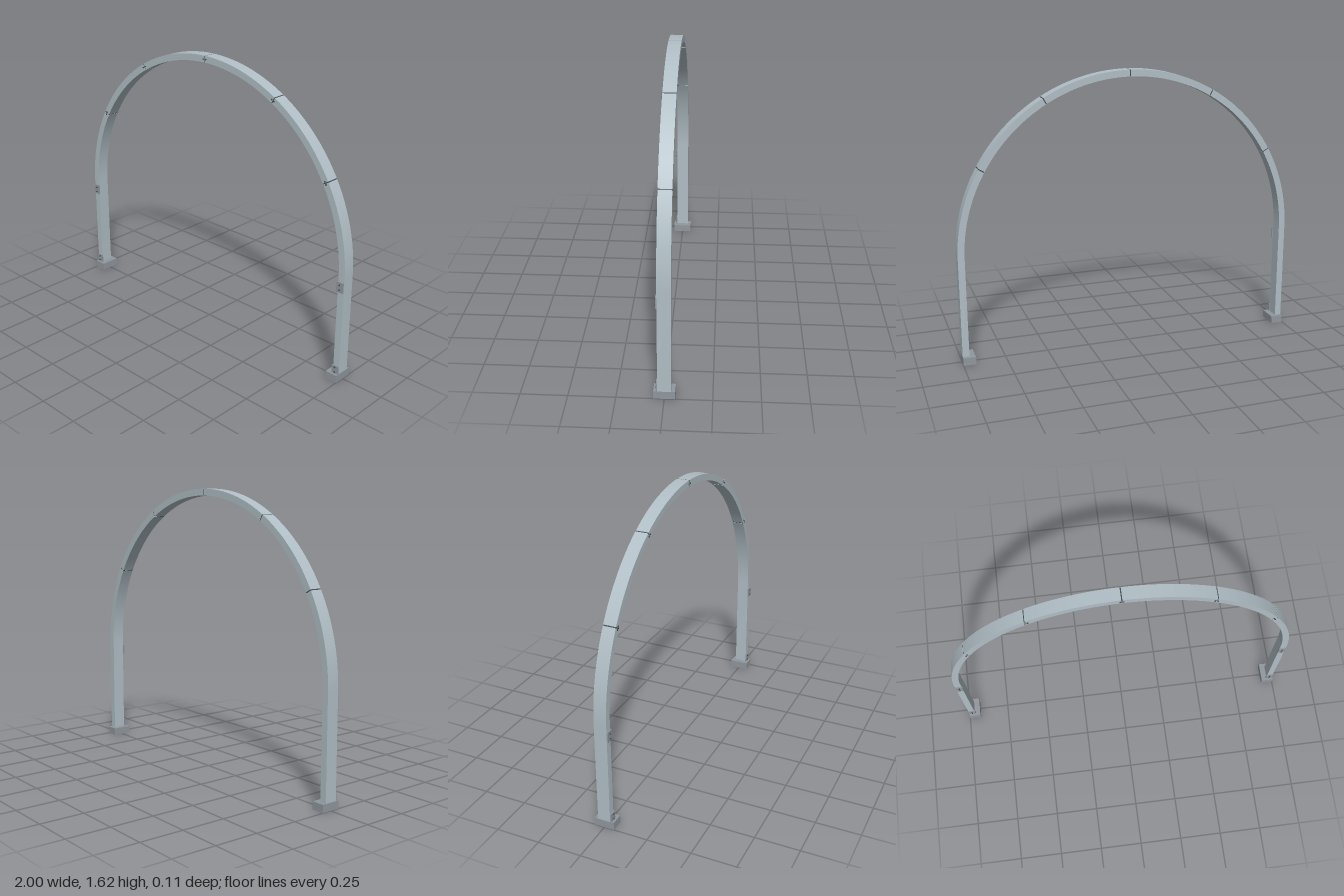
import * as THREE from 'three';
import { toCreasedNormals } from 'three/addons/utils/BufferGeometryUtils.js';

const R = 1, INNER = 0.962, CY = 0.62, DEPTH = 0.072, FOOT_H = 0.044;
const MID = (R + INNER) / 2;
const GAP = 0.003; // half of each joint, in radians
const rad = THREE.MathUtils.degToRad;

export function createModel() {
  const frameMat = new THREE.MeshStandardMaterial({ color: 0xb0bec5 });
  frameMat.name = 'paleSteel';
  const fittingMat = new THREE.MeshStandardMaterial({ color: 0x90979e });
  fittingMat.name = 'greySteel';
  const darkMat = new THREE.MeshStandardMaterial({ color: 0x454b50 });
  darkMat.name = 'darkSteel';

  const model = new THREE.Group();
  model.name = 'arch';

  function add(name, geometry, material, x = 0, y = 0, z = 0) {
    const mesh = new THREE.Mesh(geometry, material);
    mesh.name = name;
    mesh.position.set(x, y, z);
    model.add(mesh);
    return mesh;
  }

  // Curved beam between two angles; the lowest one runs on into its post
  function beamGeometry(from, to, withPost) {
    const a = rad(from) + (withPost ? 0 : GAP);
    const b = rad(to) - GAP;
    const shape = new THREE.Shape();
    if (withPost) {
      shape.moveTo(R, FOOT_H);
      shape.lineTo(R, CY);
    }
    shape.absarc(0, CY, R, a, b, false);
    shape.absarc(0, CY, INNER, b, a, true);
    if (withPost) shape.lineTo(INNER, FOOT_H);
    shape.closePath();
    const geo = new THREE.ExtrudeGeometry(shape, { depth: DEPTH, bevelEnabled: false, curveSegments: 16 });
    geo.translate(0, 0, -DEPTH / 2);
    return toCreasedNormals(geo, 0.5);
  }

  const boltGeo = new THREE.CylinderGeometry(0.004, 0.004, 0.006, 10);
  boltGeo.rotateX(Math.PI / 2);
  const jointGeo = new THREE.BoxGeometry(R - INNER - 0.003, 0.007, DEPTH - 0.003);
  const footGeo = new THREE.BoxGeometry(0.072, FOOT_H, 0.114);
  const front = DEPTH / 2;

  for (const side of [1, -1]) {
    const label = side > 0 ? 'left' : 'right';

    // Beams, turned half round for the other side
    [[0, 30], [30, 60], [60, 90]].forEach(([from, to], i) => {
      const beam = add(label + (i ? 'ArchBeam' : 'PostBeam'), beamGeometry(from, to, i === 0), frameMat);
      if (side < 0) beam.rotation.y = Math.PI;
    });

    // Foot block
    add(label + 'Foot', footGeo, fittingMat, side * 0.964, FOOT_H / 2, 0);

    // Bolted plates on the front of the post
    for (const [name, y, h] of [['FootPlate', 0.068, 0.048], ['PostPlate', 0.565, 0.06]]) {
      const plate = new THREE.BoxGeometry(0.042, h, 0.007);
      add(label + name, plate, fittingMat, side * 0.977, y, front + 0.0035);
      for (const dy of [-0.014, 0.014]) {
        add(label + 'PlateBolt', boltGeo, darkMat, side * 0.977, y + dy, front + 0.009);
      }
    }
  }

  // Recessed joints between beams, with a bolt on either side
  for (const degrees of [30, 60, 90, 120, 150]) {
    const a = rad(degrees);
    const joint = add('beamJoint', jointGeo, darkMat, MID * Math.cos(a), CY + MID * Math.sin(a), 0);
    joint.rotation.z = a;
    for (const da of [-0.009, 0.009]) {
      add('jointBolt', boltGeo, darkMat, MID * Math.cos(a + da), CY + MID * Math.sin(a + da), front + 0.001);
    }
  }

  return model;
}
